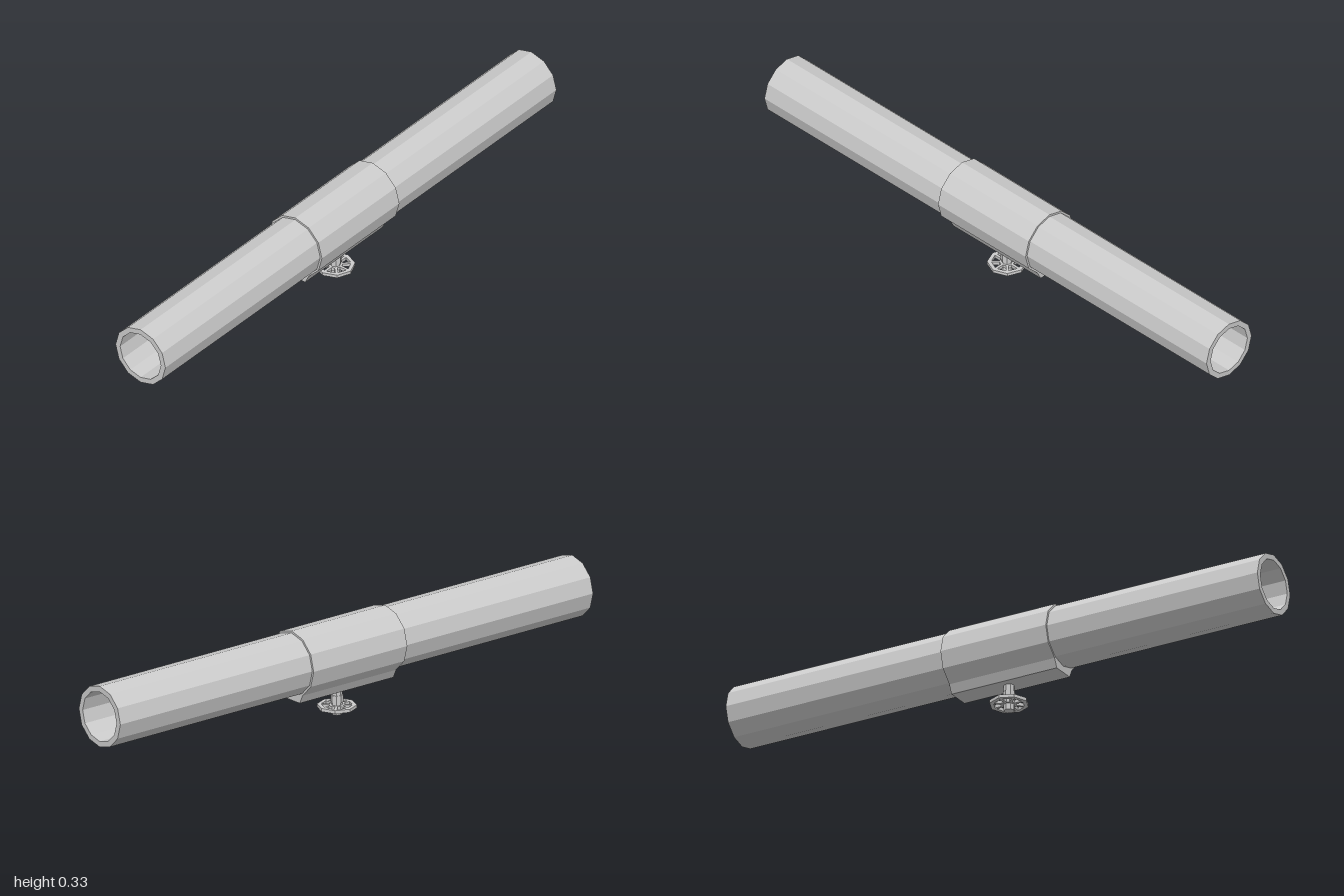
import * as THREE from 'three';

const AXIS_Y = 0.215;
const STEM_X = -0.004;

// Corner points of a regular polygon with one corner straight up
function ring(radius, sides) {
  return Array.from({ length: sides }, (_, i) => {
    const a = Math.PI / 2 + (i / sides) * Math.PI * 2;
    return new THREE.Vector2(Math.cos(a) * radius, Math.sin(a) * radius);
  });
}

function extrude(outline, holes, depth) {
  const shape = new THREE.Shape(outline);
  shape.holes = holes.map((h) => new THREE.Path(h));
  return new THREE.ExtrudeGeometry(shape, { depth, bevelEnabled: false });
}

export function createModel() {
  const model = new THREE.Group();
  const material = new THREE.MeshStandardMaterial({ color: 0xcccccc, flatShading: true });
  const add = (name, geometry, x = 0, y = 0, z = 0) => {
    const mesh = new THREE.Mesh(geometry, material);
    mesh.name = name;
    mesh.position.set(x, y, z);
    model.add(mesh);
  };

  // Long hollow twelve-sided pipe
  add('pipe', extrude(ring(0.104, 12), [ring(0.085, 12)], 2).rotateY(Math.PI / 2), -1, AXIS_Y);

  // Sleeve: the lowest corner is replaced by a flat-bottomed foot
  const sleeve = ring(0.111, 12);
  sleeve.splice(6, 1, new THREE.Vector2(-0.041, -0.126), new THREE.Vector2(0.041, -0.126));
  add('sleeve', extrude(sleeve, [ring(0.104, 12)], 0.396).rotateY(Math.PI / 2), -0.208, AXIS_Y);

  // Clamp screw reaching into the bore, with its collar nut
  add('clampScrew', new THREE.CylinderGeometry(0.018, 0.018, 0.156, 8), STEM_X, 0.078);
  add('nut', new THREE.CylinderGeometry(0.021, 0.021, 0.025, 8), STEM_X, 0.0535);

  // Octagonal handwheel: one opening between each pair of spokes
  const openings = [];
  const spokeHalf = 0.0045;
  for (let i = 0; i < 8; i++) {
    const a = (i / 8) * Math.PI * 2;
    const b = a + Math.PI / 4;
    const corner = (angle, radius, side) => new THREE.Vector2(
      Math.cos(angle) * radius - Math.sin(angle) * spokeHalf * side,
      Math.sin(angle) * radius + Math.cos(angle) * spokeHalf * side
    );
    openings.push([corner(a, 0.024, 1), corner(a, 0.05, 1), corner(b, 0.05, -1), corner(b, 0.024, -1)]);
  }
  add('handwheel', extrude(ring(0.065, 8), openings, 0.011).rotateX(-Math.PI / 2), STEM_X, 0.021);

  return model;
}
